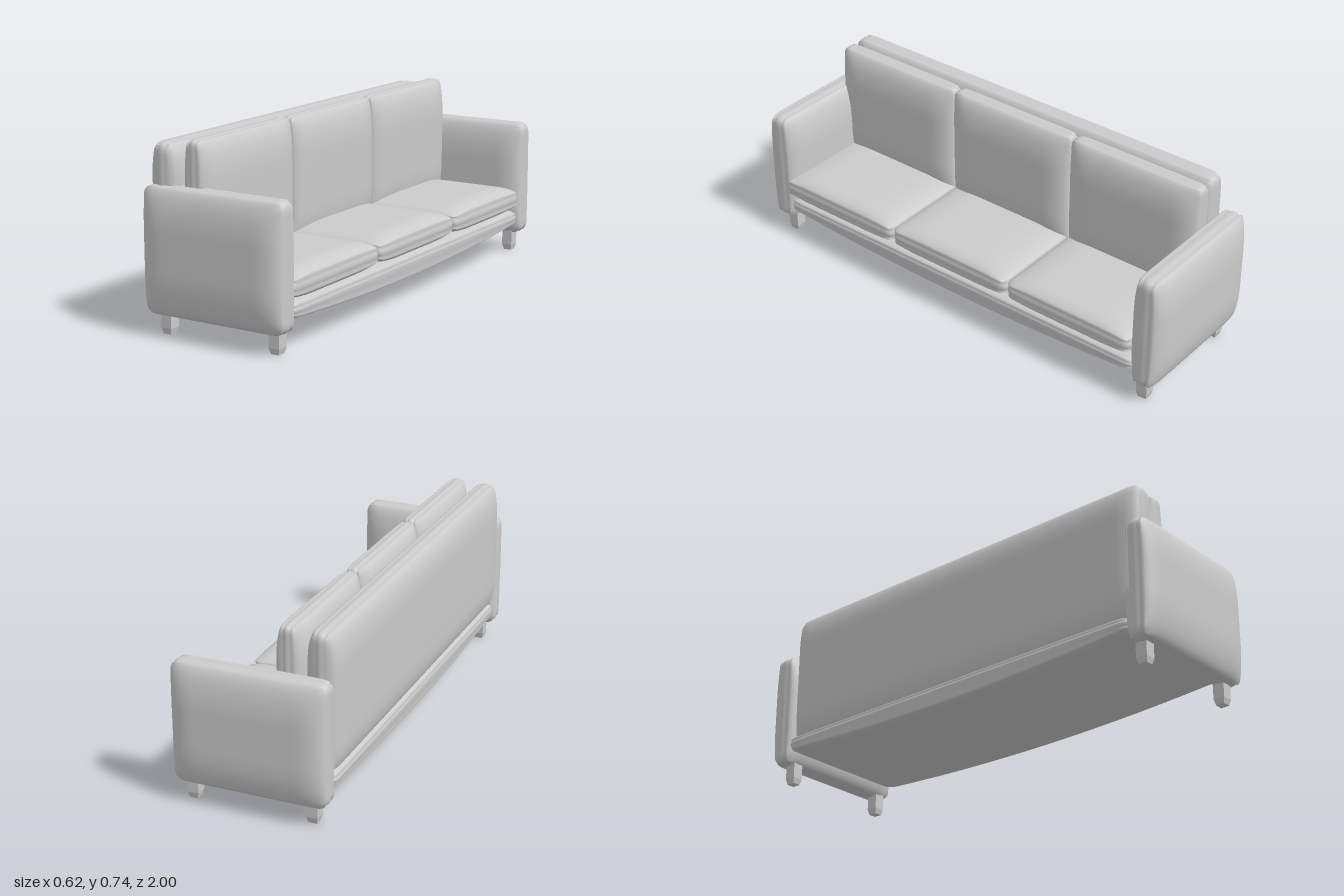
import * as THREE from 'three';
import { mergeVertices } from 'three/addons/utils/BufferGeometryUtils.js';

const material = new THREE.MeshStandardMaterial({ color: 0xcccccc });
const AXES = ['x', 'y', 'z'];

// Padded slab between two corners. thin: the thickness axis; fall: how far the
// padding slopes towards the rim along each axis; rim: rim thickness share.
function pillow(name, min, max, { thin, fall, rim = 0.3, corner = 0.035, sag = 0 }) {
  const half = min.map((v, i) => (max[i] - v) / 2);
  const mid = min.map((v, i) => (max[i] + v) / 2);
  const plan = [0, 1, 2].filter(i => i !== thin);
  const segs = [28, 28, 28];
  segs[thin] = 4;
  let geo = new THREE.BoxGeometry(2, 2, 2, ...segs);
  geo.deleteAttribute('uv');
  geo.deleteAttribute('normal');
  geo = mergeVertices(geo);
  const pos = geo.attributes.position;
  const v = new THREE.Vector3();
  for (let k = 0; k < pos.count; k++) {
    v.fromBufferAttribute(pos, k);
    const p = v.toArray();
    // rows of vertices gather near the rim
    let puff = 1;
    const out = [0, 0, 0];
    const off = [0, 0, 0];
    for (const i of plan) {
      out[i] = half[i] * Math.sin(p[i] * Math.PI / 2);
      const d = Math.min(1, (half[i] - Math.abs(out[i])) / fall[i]);
      puff *= Math.sqrt(Math.max(0, 1 - (1 - d) ** 2));
      const core = half[i] - corner;
      off[i] = out[i] - Math.max(-core, Math.min(core, out[i]));
    }
    // rounded corners of the outline
    const [a, b] = plan;
    const len = Math.hypot(off[a], off[b]);
    const scale = len > 0 ? Math.max(Math.abs(off[a]), Math.abs(off[b])) / len : 1;
    const onRim = plan.some(i => Math.abs(p[i]) > 0.9999);
    for (const i of plan) {
      out[i] += off[i] * (scale - 1);
      // soften the rim's two edges
      if (onRim) out[i] *= 1 - 0.006 * p[thin] ** 2 / half[i];
    }
    out[thin] = half[thin] * p[thin] * (rim + (1 - rim) * puff);
    if (p[thin] < 0) out[thin] += sag * p[thin] * (1 - (out[2] / half[2]) ** 2);
    pos.setXYZ(k, out[0] + mid[0], out[1] + mid[1], out[2] + mid[2]);
  }
  geo.computeVertexNormals();
  const mesh = new THREE.Mesh(geo, material);
  mesh.name = name;
  return mesh;
}

// Square foot with a tapered tip
function foot(x, z) {
  const group = new THREE.Group();
  group.name = 'foot';
  const post = new THREE.Mesh(new THREE.BoxGeometry(0.045, 0.085, 0.048), material);
  post.name = 'footPost';
  post.position.y = 0.0665;
  const tipGeo = new THREE.BoxGeometry(0.045, 0.024, 0.048);
  const pos = tipGeo.attributes.position;
  for (let i = 0; i < pos.count; i++) {
    if (pos.getY(i) < 0) pos.setXYZ(i, pos.getX(i) * 0.75, pos.getY(i), pos.getZ(i) * 0.75);
  }
  tipGeo.computeVertexNormals();
  const tip = new THREE.Mesh(tipGeo, material);
  tip.name = 'footTip';
  tip.position.y = 0.012;
  group.add(post, tip);
  group.position.set(x, 0, z);
  return group;
}

export function createModel() {
  const sofa = new THREE.Group();
  sofa.name = 'sofa';

  // Base with a slightly sagging underside
  sofa.add(pillow('base', [-0.31, 0.12, -0.885], [0.3, 0.19, 0.89],
    { thin: 1, fall: [0.06, 0, 0.06], rim: 0.35, sag: 0.035 }));

  // Backrest
  sofa.add(pillow('backrest', [-0.312, 0.16, -0.87], [-0.178, 0.725, 0.94],
    { thin: 0, fall: [0, 0.13, 0.07] }));

  // Arms and feet at both ends
  for (const s of [-1, 1]) {
    const z = s * 0.925;
    sofa.add(pillow(s > 0 ? 'leftEndArm' : 'rightEndArm',
      [-0.312, 0.08, z - 0.075], [0.305, 0.568, z + 0.075],
      { thin: 2, fall: [0.1, 0.17, 0], rim: 0.35 }));
    for (const x of [-0.24, 0.244]) sofa.add(foot(x, s * 0.91));
  }

  // Three seat cushions and three back cushions
  const seatZ = [-0.87, -0.285, 0.302, 0.905];
  const backZ = [-0.89, -0.288, 0.304, 0.91];
  for (let i = 0; i < 3; i++) {
    sofa.add(pillow('seatCushion', [-0.19, 0.183, seatZ[i]], [0.311, 0.306, seatZ[i + 1]],
      { thin: 1, fall: [0.09, 0, 0.16], rim: 0.35 }));
    sofa.add(pillow('backCushion', [-0.192, 0.22, backZ[i]], [-0.06, 0.74, backZ[i + 1]],
      { thin: 0, fall: [0, 0.15, 0.1], rim: 0.25, corner: 0.025 }));
  }
  return sofa;
}
